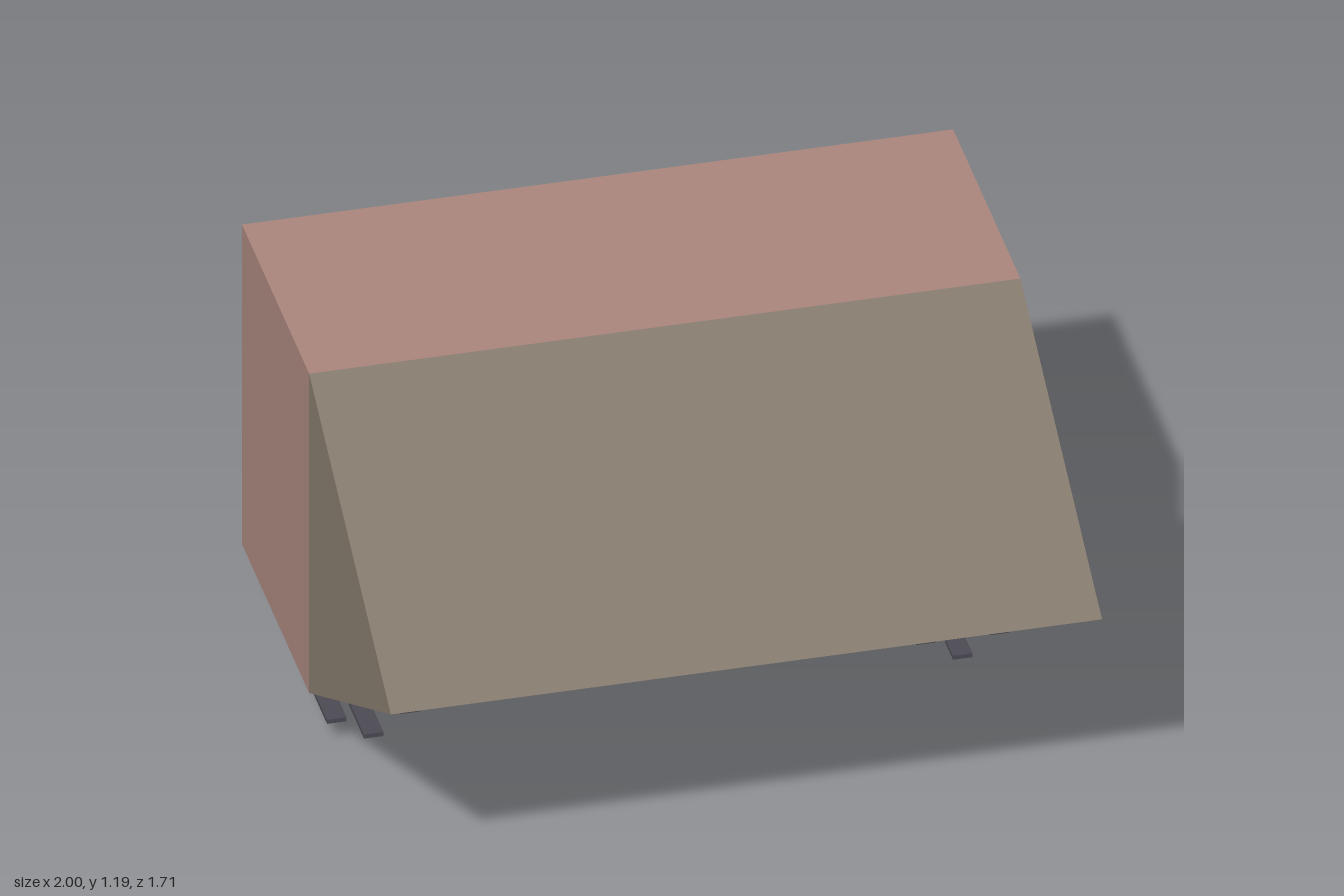
import * as THREE from 'three';

const mat = (name, color, extra = {}) => {
  const m = new THREE.MeshStandardMaterial({ color, ...extra });
  m.name = name;
  return m;
};

export function createModel() {
  const model = new THREE.Group();
  const wallPink = mat('wallPink', 0xaa857d);
  const roofBrown = mat('roofBrown', 0x85796d);
  const slatGrey = mat('slatGrey', 0x4c4b54);
  const paleMetal = mat('paleMetal', 0xb4b2ae);
  const railTan = mat('railTan', 0x9a8765);
  paleMetal.flatShading = true;

  const add = (name, geo, material, x = 0, y = 0, z = 0, parent = model) => {
    const mesh = new THREE.Mesh(geo, material);
    mesh.name = name;
    mesh.position.set(x, y, z);
    parent.add(mesh);
    return mesh;
  };
  const outline = (Type, pts) => new Type(pts.map(([x, y]) => new THREE.Vector2(x, y)));
  // Extrude a (z, y) profile along x, starting at x = 0
  const extrudeX = (pts, depth) =>
    new THREE.ExtrudeGeometry(outline(THREE.Shape, pts.map(([z, y]) => [-z, y])), { depth, bevelEnabled: false })
      .rotateY(Math.PI / 2);

  const T = 0.045, BACK = -0.85, MID = -0.08, NOSE = 0.855, LOW = 0.15, TOP = 1.19;
  const IN = 1 - T;

  // Back wall with a long window, pointed slits and round arches
  const wall = outline(THREE.Shape, [[-1, LOW], [1, LOW], [1, TOP], [-1, TOP]]);
  wall.holes.push(outline(THREE.Path, [[-IN, 0.935], [-IN, 1.138], [IN, 1.138], [IN, 0.935]]));
  for (let i = 0; i < 16; i++) {
    const x = (i - 7.5) * 0.0875, w = 0.03;
    wall.holes.push(outline(THREE.Path,
      [[x - w, 0.6], [x - w, 0.81], [x, 0.865], [x + w, 0.81], [x + w, 0.6]]));
  }
  for (let i = 0; i < 6; i++) {
    const x = (i - 2.5) / 3, r = 0.12, pts = [[x - r, 0.178]];
    for (let k = 0; k <= 8; k++) {
      const a = Math.PI * (1 - k / 8);
      pts.push([x + r * Math.cos(a), 0.37 + r * Math.sin(a)]);
    }
    pts.push([x + r, 0.178]);
    wall.holes.push(outline(THREE.Path, pts));
  }
  add('backWall', new THREE.ExtrudeGeometry(wall, { depth: T, bevelEnabled: false }), wallPink, 0, 0, BACK);

  // Hollow hall: side walls and flat roof, open below and in front
  const depth = MID - BACK - T, zc = (MID + BACK + T) / 2;
  for (const s of [-1, 1]) {
    add('sideWall', new THREE.BoxGeometry(T, TOP - LOW, depth), wallPink, s * (1 - T / 2), (TOP + LOW) / 2, zc);
  }
  add('flatRoof', new THREE.BoxGeometry(2 * IN, T, depth), wallPink, 0, TOP - T / 2, zc);

  // Hollow wedge front: two slopes and triangular ends
  const midY = (TOP + LOW) / 2;
  add('wedgeSlopes', extrudeX([[MID, TOP], [MID, TOP - T], [NOSE - 0.08, midY], [MID, LOW + T], [MID, LOW], [NOSE, midY]],
    2 * IN), roofBrown, -IN);
  for (const x of [-1, IN]) {
    add('wedgeEnd', extrudeX([[MID, TOP], [MID, LOW], [NOSE, midY]], T), roofBrown, x);
  }

  // Rail under the hall
  add('rail', new THREE.BoxGeometry(1.92, 0.025, 0.016), railTan, 0, 0.1375, -0.498);

  // Slats: three low ones at each end and a comb between them
  const slat = new THREE.BoxGeometry(0.055, 0.013, 0.32);
  for (const s of [-1, 1]) {
    for (const [x, y] of [[0.932, 0.075], [0.828, 0.011], [0.725, 0.075]]) add('lowSlat', slat, slatGrey, s * x, y, -0.2);
  }
  for (let i = -6; i <= 6; i++) add('combSlat', slat, slatGrey, i * 0.1035, 0.2, -0.2);

  // Spindles: front cone, ball, body and tail cone, all along z
  const cone = (r, h) => new THREE.ConeGeometry(r, h, 6).rotateY(Math.PI / 6).rotateX(Math.PI / 2);
  const noseCone = cone(0.036, 0.066), tailCone = cone(0.021, 0.048);
  const ball = new THREE.IcosahedronGeometry(0.017, 1);
  const body = new THREE.CylinderGeometry(0.017, 0.017, 0.1, 6).rotateX(Math.PI / 2);
  for (const x of [-0.495, -0.165, 0.165, 0.495]) {
    const spindle = new THREE.Group();
    spindle.name = 'spindle';
    spindle.position.x = x;
    model.add(spindle);
    add('noseCone', noseCone, paleMetal, 0, 0.104, -0.228, spindle);
    add('ball', ball, paleMetal, 0, 0.095, -0.302, spindle);
    add('body', body, paleMetal, 0, 0.095, -0.372, spindle);
    add('tailCone', tailCone, paleMetal, 0, 0.11, -0.431, spindle);
  }
  return model;
}
